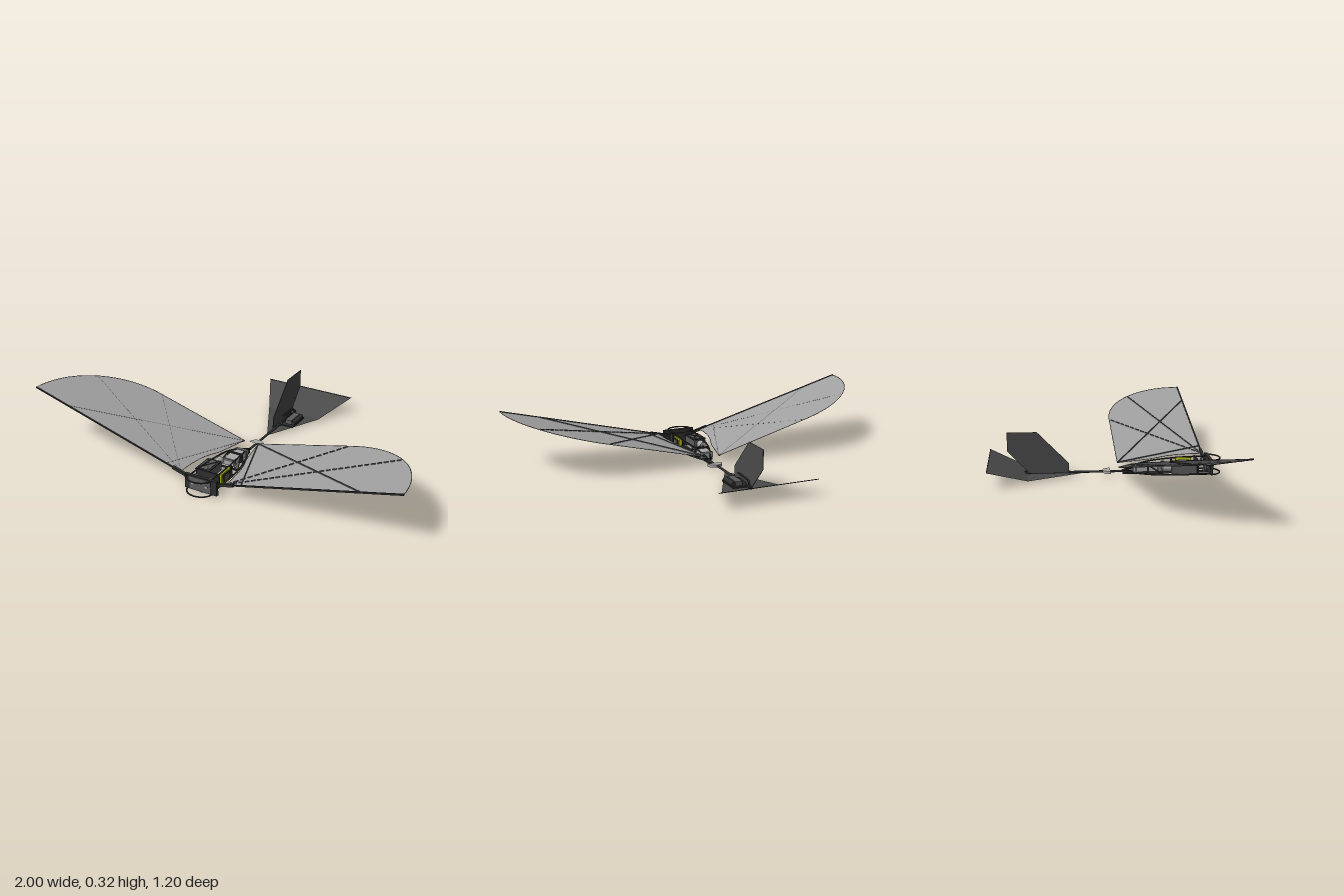
import * as THREE from 'three';

export function createModel() {
  const root = new THREE.Group();
  const mat = (name, color, side = THREE.FrontSide) => {
    const m = new THREE.MeshStandardMaterial({ color, side });
    m.name = name;
    return m;
  };
  const film = mat('wing film', 0xa2a2a2, THREE.DoubleSide);
  const tailFilm = mat('tail film', 0x4a4a4a, THREE.DoubleSide);
  const dark = mat('dark carbon', 0x303030);
  const mid = mat('mid grey', 0x5c5c5c);
  const light = mat('light grey', 0xa8a8a8);
  const yellow = mat('yellow', 0xc6cc10);

  const V = (x, y, z) => new THREE.Vector3(x, y, z);
  const add = (name, geo, m, parent = root) => {
    const mesh = new THREE.Mesh(geo, m);
    mesh.name = name;
    parent.add(mesh);
    return mesh;
  };
  // box given by its ranges
  const box = (name, m, x0, x1, y0, y1, z0, z1, parent = root) => {
    const b = add(name, new THREE.BoxGeometry(x1 - x0, y1 - y0, z1 - z0), m, parent);
    b.position.set((x0 + x1) / 2, (y0 + y1) / 2, (z0 + z1) / 2);
    return b;
  };
  // square rod between two points
  const beam = (name, m, a, b, w, parent = root) => {
    const r = add(name, new THREE.BoxGeometry(w, w, a.distanceTo(b)), m, parent);
    r.position.copy(a).lerp(b, 0.5);
    r.lookAt(b);
    return r;
  };
  const cyl = (name, m, r, len, pos, axis, parent = root) => {
    const g = new THREE.CylinderGeometry(r, r, len, 20);
    if (axis === 'x') g.rotateZ(Math.PI / 2);
    if (axis === 'z') g.rotateX(Math.PI / 2);
    const c = add(name, g, m, parent);
    c.position.copy(pos);
    return c;
  };
  const tube = (name, m, pts, r, parent = root, closed = false) =>
    add(name, new THREE.TubeGeometry(new THREE.CatmullRomCurve3(pts, closed), 60, r, 6, closed), m, parent);

  // Wings: flat sheets with dihedral; battens above on the left, below on the right
  function wing(name, s, y0, slope, battenSide) {
    const g = new THREE.Group();
    g.name = name;
    root.add(g);
    const on = (x, z, lift = 0) => V(s * x, y0 + slope * x + lift, z);
    const shape = new THREE.Shape();
    shape.moveTo(0.04, 0.065);
    shape.lineTo(0.56, 0.065);
    shape.absellipse(0.56, 0.525, 0.44, 0.46, -Math.PI / 2, 0, false);
    shape.lineTo(0.125, 0.525);
    shape.bezierCurveTo(0.125, 0.34, 0.095, 0.31, 0.075, 0.24);
    shape.lineTo(0.04, 0.065);
    const geo = new THREE.ShapeGeometry(shape, 32);
    const p = geo.attributes.position;
    for (let i = 0; i < p.count; i++) {
      const v = on(p.getX(i), p.getY(i));
      p.setXYZ(i, v.x, v.y, v.z);
    }
    geo.computeVertexNormals();
    add('wingSheet', geo, film, g);

    // thin hem round the sheet
    const outline = shape.getPoints(24);
    const path = new THREE.CurvePath();
    for (let i = 1; i < outline.length; i++) {
      if (outline[i].distanceTo(outline[i - 1]) < 1e-5) continue;
      path.add(new THREE.LineCurve3(on(outline[i - 1].x, outline[i - 1].y), on(outline[i].x, outline[i].y)));
    }
    add('wingHem', new THREE.TubeGeometry(path, 160, 0.0012, 4), dark, g);

    // leading edge spar and hinge
    beam('leadingSpar', dark, on(0.05, 0.527), on(1, 0.527), 0.007, g);
    beam('sparSocket', dark, on(0.05, 0.527), on(0.17, 0.527), 0.014, g);

    // battens, solid or dashed
    const batten = (x0, z0, x1, z1, dashes) => {
      const lift = battenSide * 0.0025;
      const a = on(x0, z0, lift), b = on(x1, z1, lift);
      for (let i = 0; i < dashes; i++) {
        const t1 = dashes === 1 ? 1 : (i + 0.7) / dashes;
        beam('batten', mid, a.clone().lerp(b, i / dashes), a.clone().lerp(b, t1), 0.005, g);
      }
    };
    batten(0.042, 0.067, 0.8, 0.525, 1);
    batten(0.042, 0.067, 0.21, 0.525, 1);
    batten(0.13, 0.522, 0.87, 0.2, 28);
    batten(0.13, 0.522, 0.55, 0.068, 18);
  }
  wing('leftWing', 1, 0.04, 0.245, 1);
  wing('rightWing', -1, 0.037, 0.281, -1);

  // Tail: triangle folded upward at its rear
  const tail = new THREE.Group();
  tail.name = 'tail';
  root.add(tail);
  const apex = [0, 0.012, -0.1], fl = [0.153, 0.012, -0.4], fr = [-0.153, 0.012, -0.4];
  const bl = [0.257, 0.085, -0.6], br = [-0.257, 0.085, -0.6];
  const tg = new THREE.BufferGeometry();
  tg.setAttribute('position', new THREE.Float32BufferAttribute(
    [apex, fr, fl, fl, fr, br, fl, br, bl].flat(), 3));
  tg.computeVertexNormals();
  add('tailSheet', tg, tailFilm, tail);
  beam('tailRearEdge', dark, V(...bl), V(...br), 0.003, tail);

  // Upright fin
  const fin = new THREE.Shape([[-0.19, 0.015], [-0.19, 0.068], [-0.352, 0.232], [-0.504, 0.232],
    [-0.504, 0.135], [-0.39, 0.015]].map(([z, y]) => new THREE.Vector2(-z, y)));
  const fg = new THREE.ExtrudeGeometry(fin, { depth: 0.003, bevelEnabled: false });
  fg.rotateY(Math.PI / 2);
  add('fin', fg, tailFilm, tail).position.x = -0.015;

  // Tail steering unit beside the fin
  const hump = new THREE.Shape();
  hump.moveTo(0.23, 0.012);
  hump.quadraticCurveTo(0.26, 0.036, 0.3, 0.036);
  hump.quadraticCurveTo(0.38, 0.034, 0.41, 0.012);
  const hg = new THREE.ExtrudeGeometry(hump, { depth: 0.008, bevelEnabled: false });
  hg.rotateY(Math.PI / 2);
  add('steeringBracket', hg, dark, tail).position.x = 0.003;
  box('steeringBase', dark, 0.01, 0.08, 0.013, 0.02, -0.375, -0.24, tail);
  box('steeringMotor', mid, 0.025, 0.06, 0.02, 0.042, -0.36, -0.26, tail);
  cyl('steeringDrum', dark, 0.012, 0.1, V(0.07, 0.03, -0.31), 'z', tail);
  beam('steeringArm', dark, V(0.005, 0.055, -0.27), V(0.005, 0.05, -0.38), 0.008, tail);
  beam('steeringLink', dark, V(0.005, 0.05, -0.38), V(0.005, 0.018, -0.415), 0.008, tail);

  // Boom and its round coupling
  cyl('boom', dark, 0.006, 0.52, V(0, 0.016, -0.15), 'z');
  const coupling = add('boomCoupling',
    new THREE.CylinderGeometry(0.04, 0.04, 0.014, 24, 1, false, Math.PI / 2, Math.PI), light);
  coupling.position.set(0.003, 0.017, 0.025);

  // Fuselage frame: base rails, upper rails and cross struts
  const body = new THREE.Group();
  body.name = 'fuselage';
  root.add(body);
  beam('keel', dark, V(0, 0.006, 0.09), V(0, 0.006, 0.54), 0.012, body);
  for (const s of [-1, 1]) {
    const c = -0.008;
    const low = [V(c + s * 0.062, 0.01, 0.54), V(c + s * 0.062, 0.01, 0.29), V(c + s * 0.045, 0.012, 0.2), V(0, 0.015, 0.085)];
    const high = [V(c + s * 0.06, 0.075, 0.54), V(c + s * 0.055, 0.07, 0.36), V(c + s * 0.035, 0.055, 0.2), V(0, 0.02, 0.085)];
    tube('lowerRail', dark, low, 0.005, body);
    tube('upperRail', dark, high, 0.004, body);
    beam('rearPost', dark, V(c + s * 0.045, 0.012, 0.215), V(c + s * 0.036, 0.057, 0.215), 0.009, body);
    beam('midPost', dark, V(c + s * 0.062, 0.01, 0.35), V(c + s * 0.054, 0.069, 0.35), 0.008, body);
    beam('brace', dark, V(c + s * 0.058, 0.01, 0.29), V(c + s * 0.037, 0.057, 0.215), 0.005, body);
  }
  for (const [z, w, y] of [[0.14, 0.028, 0.013], [0.215, 0.045, 0.013], [0.29, 0.065, 0.01], [0.46, 0.065, 0.01], [0.215, 0.036, 0.056]])
    beam('crossStrut', dark, V(-0.008 - w, y, z), V(-0.008 + w, y, z), 0.008, body);

  // Nose plate with wing mounts and screws
  box('nosePlate', dark, -0.088, 0.09, 0.008, 0.085, 0.533, 0.548, body);
  box('noseFace', mid, -0.06, 0.058, 0.014, 0.08, 0.548, 0.552, body);
  for (const x of [-0.042, 0.035]) cyl('noseScrew', light, 0.007, 0.006, V(x, 0.045, 0.552), 'z', body);
  box('gearPlate', dark, -0.07, 0.06, 0.008, 0.08, 0.47, 0.478, body);
  for (const x of [-0.045, 0.03]) {
    cyl('driveGear', mid, 0.03, 0.012, V(x, 0.042, 0.51), 'z', body);
    cyl('gearShaft', light, 0.007, 0.065, V(x, 0.042, 0.503), 'z', body);
  }

  // Front bumper hoops
  for (const y of [0.007, 0.082]) {
    const pts = [];
    for (let i = 0; i <= 12; i++) {
      const a = Math.PI * i / 12;
      pts.push(V(-0.008 + 0.068 * Math.cos(a), y, 0.538 + 0.058 * Math.sin(a)));
    }
    tube('bumperHoop', dark, pts, 0.004, body);
  }

  // Motor block on the right with a crossed lid
  box('motorBlock', mid, -0.08, -0.015, 0.015, 0.064, 0.335, 0.465, body);
  box('lidFrame', dark, -0.086, -0.01, 0.064, 0.069, 0.345, 0.46, body);
  box('lidPanel', mid, -0.077, -0.02, 0.069, 0.071, 0.357, 0.448, body);
  beam('lidCross', dark, V(-0.075, 0.071, 0.36), V(-0.022, 0.071, 0.445), 0.006, body);
  beam('lidCross', dark, V(-0.022, 0.071, 0.36), V(-0.075, 0.071, 0.445), 0.006, body);
  cyl('motorCan', light, 0.02, 0.05, V(-0.048, 0.042, 0.315), 'z', body);

  // Circuit board with yellow rim on the left
  box('yellowBoard', yellow, 0.045, 0.06, 0.012, 0.07, 0.372, 0.456, body);
  box('boardChip', dark, 0.058, 0.066, 0.022, 0.064, 0.385, 0.444, body);
  box('chipFace', mid, 0.066, 0.068, 0.03, 0.057, 0.395, 0.434, body);
  box('boardMount', light, 0.025, 0.045, 0.02, 0.06, 0.39, 0.44, body);
  const ring = add('wireRing', new THREE.TorusGeometry(0.011, 0.003, 8, 20), light, body);
  ring.rotation.y = Math.PI / 2;
  ring.position.set(0.05, 0.042, 0.305);

  // Battery in the rear cage
  box('battery', light, -0.04, 0.025, 0.02, 0.046, 0.14, 0.285, body);
  for (const z of [0.155, 0.27]) box('batteryBand', mid, -0.042, 0.027, 0.018, 0.048, z - 0.006, z + 0.006, body);

  return root;
}
